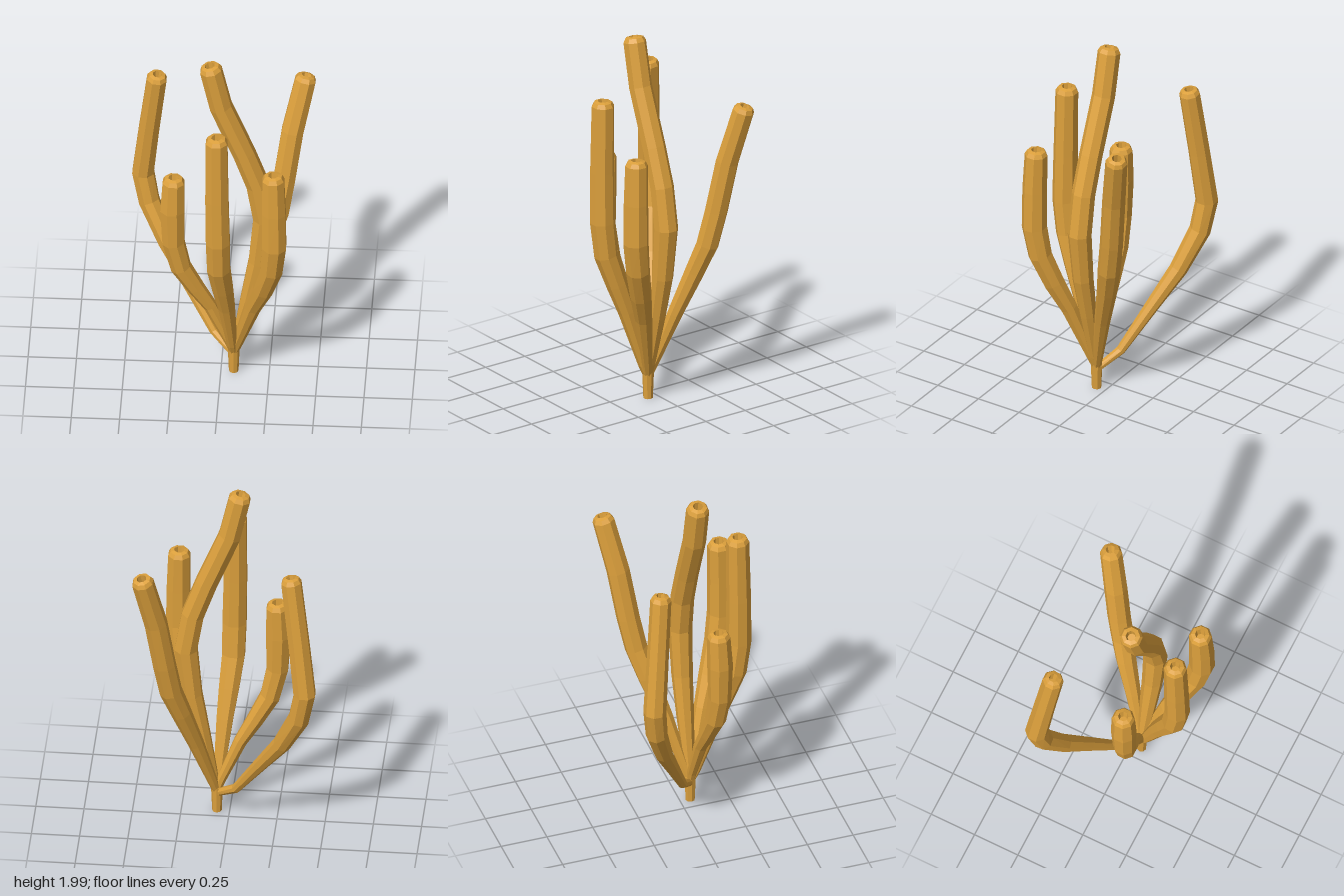
import * as THREE from 'three';

const SIDES = 8;

// Low-poly branch: one ring per path point [x, y, z, radius], then a bevelled rim and a sunken mouth
function branchGeometry(path) {
  const centres = path.map(p => new THREE.Vector3(p[0], p[1], p[2]));
  const rings = centres.map((c, i) => {
    const dir = centres[Math.min(i + 1, centres.length - 1)].clone()
      .sub(centres[Math.max(i - 1, 0)]).normalize();
    return { c, dir, r: path[i][3] };
  });

  // Rim, lip and floor of the mouth, measured along the tip direction
  const tip = rings[rings.length - 1];
  for (const [along, scale] of [[0.022, 0.8], [0.028, 0.45], [-0.025, 0.36]]) {
    rings.push({ c: tip.c.clone().addScaledVector(tip.dir, along), dir: tip.dir, r: tip.r * scale });
  }

  const positions = [];
  for (const { c, dir, r } of rings) {
    const u = new THREE.Vector3(1, 0, 0).addScaledVector(dir, -dir.x).normalize();
    const v = new THREE.Vector3().crossVectors(u, dir);
    for (let s = 0; s < SIDES; s++) {
      const a = (s + 0.5) / SIDES * Math.PI * 2;
      const p = c.clone().addScaledVector(u, Math.cos(a) * r).addScaledVector(v, Math.sin(a) * r);
      positions.push(p.x, p.y, p.z);
    }
  }
  const floor = rings[rings.length - 1].c;
  positions.push(floor.x, floor.y, floor.z);

  const index = [];
  for (let i = 0; i < rings.length - 1; i++) {
    for (let s = 0; s < SIDES; s++) {
      const a = i * SIDES + s, b = i * SIDES + (s + 1) % SIDES;
      index.push(a, a + SIDES, b, b, a + SIDES, b + SIDES);
    }
  }
  const last = (rings.length - 1) * SIDES;
  for (let s = 0; s < SIDES; s++) {
    index.push(last + s, rings.length * SIDES, last + (s + 1) % SIDES);
  }

  const indexed = new THREE.BufferGeometry();
  indexed.setAttribute('position', new THREE.Float32BufferAttribute(positions, 3));
  indexed.setIndex(index);
  const geometry = indexed.toNonIndexed();
  geometry.computeVertexNormals();
  return geometry;
}

export function createModel() {
  const group = new THREE.Group();
  const coral = new THREE.MeshStandardMaterial({ color: 0xdca03c, flatShading: true });
  coral.name = 'ochre coral';

  const add = (name, geometry) => {
    const mesh = new THREE.Mesh(geometry, coral);
    mesh.name = name;
    group.add(mesh);
    return mesh;
  };

  // Short stem that all branches grow from
  add('stem', new THREE.CylinderGeometry(0.031, 0.025, 0.15, SIDES)).position.set(0.066, 0.075, 0.055);

  const branches = {
    tallBranch: [
      [0.066, 0.12, 0.055, 0.022], [0.085, 0.2, 0.055, 0.029], [0.145, 0.48, 0.055, 0.046],
      [0.195, 0.72, 0.055, 0.056], [0.226, 1.0, 0.055, 0.063], [0.19, 1.22, 0.055, 0.062],
      [0.12, 1.42, 0.055, 0.061], [0, 1.72, 0.055, 0.061], [-0.052, 1.955, 0.055, 0.06],
    ],
    backLeftBranch: [
      [0.066, 0.12, 0.055, 0.022], [0.085, 0.19, 0.035, 0.026], [0.165, 0.48, -0.045, 0.042],
      [0.235, 0.72, -0.12, 0.054], [0.285, 0.88, -0.165, 0.06], [0.315, 1.07, -0.2, 0.061],
      [0.355, 1.35, -0.24, 0.061], [0.418, 1.64, -0.298, 0.058],
    ],
    frontBranch: [
      [0.066, 0.12, 0.055, 0.022], [0.06, 0.19, 0.08, 0.028], [0.035, 0.5, 0.168, 0.046],
      [0.018, 0.66, 0.22, 0.056], [0, 0.83, 0.275, 0.063], [-0.003, 1.02, 0.296, 0.066],
      [-0.008, 1.3, 0.294, 0.064], [-0.01, 1.665, 0.288, 0.06],
    ],
    frontLeftBranch: [
      [0.066, 0.12, 0.055, 0.022], [0.085, 0.19, 0.072, 0.028], [0.17, 0.5, 0.158, 0.046],
      [0.225, 0.66, 0.215, 0.057], [0.272, 0.83, 0.268, 0.063], [0.288, 1.0, 0.293, 0.067],
      [0.287, 1.22, 0.292, 0.065], [0.283, 1.43, 0.286, 0.06],
    ],
    shortBranch: [
      [0.066, 0.12, 0.055, 0.022], [0.045, 0.19, 0.058, 0.026], [-0.055, 0.43, 0.07, 0.036],
      [-0.13, 0.56, 0.085, 0.046], [-0.205, 0.7, 0.1, 0.055], [-0.243, 0.87, 0.11, 0.06],
      [-0.248, 1.08, 0.11, 0.067], [-0.243, 1.255, 0.105, 0.06],
    ],
    backRightBranch: [
      [0.066, 0.11, 0.055, 0.02], [-0.04, 0.195, -0.024, 0.025], [-0.18, 0.43, -0.129, 0.037],
      [-0.295, 0.62, -0.215, 0.048], [-0.39, 0.83, -0.285, 0.057], [-0.422, 1.0, -0.306, 0.06],
      [-0.39, 1.3, -0.28, 0.057], [-0.348, 1.655, -0.248, 0.055],
    ],
  };
  for (const [name, path] of Object.entries(branches)) add(name, branchGeometry(path));

  return group;
}
